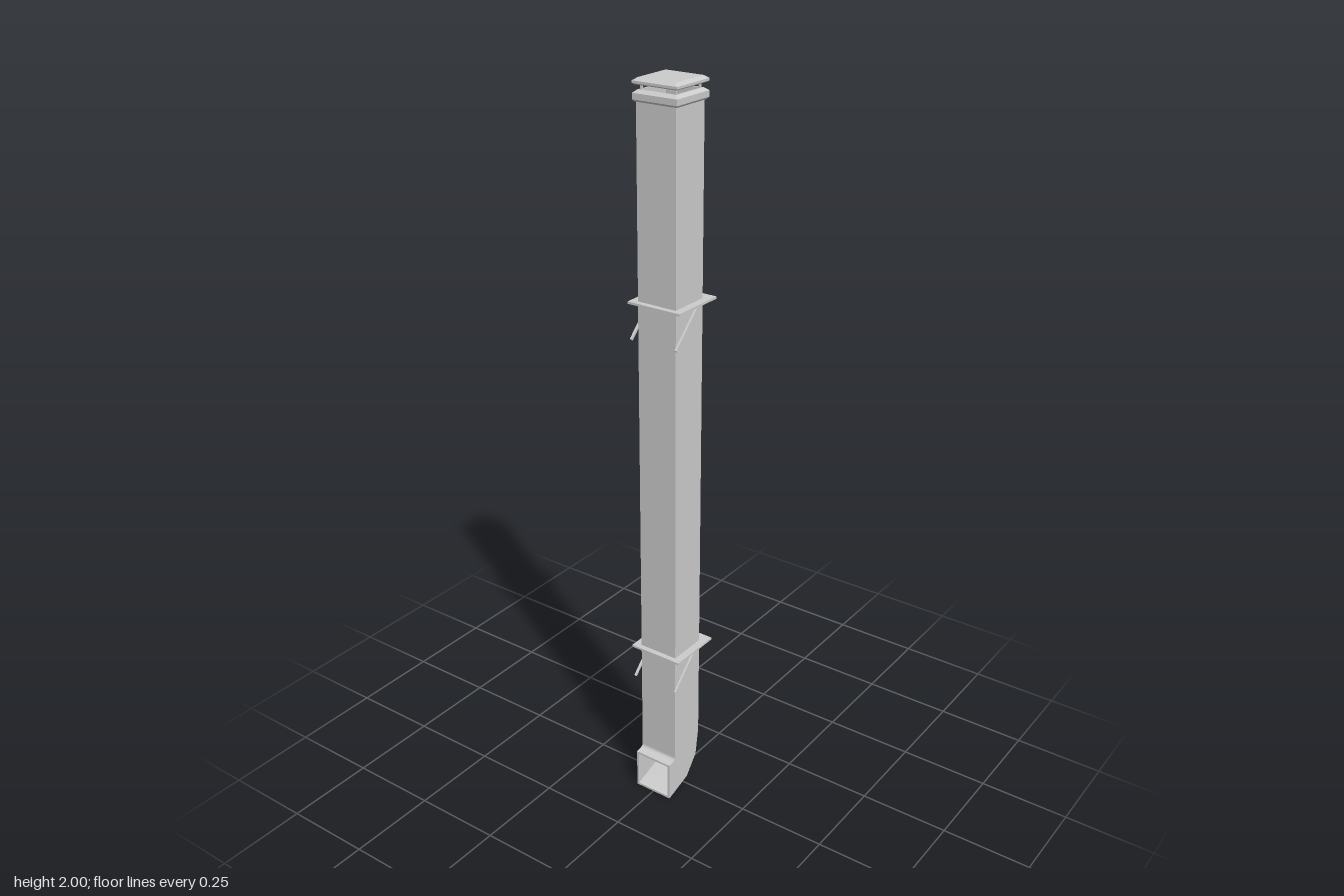
import * as THREE from 'three';

const material = new THREE.MeshStandardMaterial({ color: 0xcccccc, side: THREE.DoubleSide });
const flatMaterial = new THREE.MeshStandardMaterial({ color: 0xcccccc, flatShading: true, side: THREE.DoubleSide });

function addMesh(parent, name, geometry, mat = material) {
  const mesh = new THREE.Mesh(geometry, mat);
  mesh.name = name;
  parent.add(mesh);
  return mesh;
}

// Square solid of revolution: profile points are [half width, height]
function squareLathe(profile) {
  const points = profile.map(([h, y]) => new THREE.Vector2(h * Math.SQRT2, y));
  return new THREE.LatheGeometry(points, 4, Math.PI / 4).toNonIndexed();
}

// Hollow square duct following [outer bend x, y, inner bend x, y] sections
function ductGeometry(sections, halfDepth, wall) {
  const ring = ([ox, oy, ix, iy], inset) => {
    const d = new THREE.Vector2(ix - ox, iy - oy).setLength(inset);
    const z = halfDepth - inset;
    return [[ox + d.x, oy + d.y, z], [ox + d.x, oy + d.y, -z],
      [ix - d.x, iy - d.y, -z], [ix - d.x, iy - d.y, z]];
  };
  const outer = sections.map((s) => ring(s, 0));
  const inner = sections.map((s) => ring(s, wall)).reverse();
  const last = sections.length - 1;
  // outside, spout rim, inside, top rim
  const strips = [outer, [outer[last], inner[0]], inner, [inner[last], outer[0]]];
  const positions = [];
  const indices = [];
  for (const rings of strips) {
    for (let k = 0; k < 4; k++) {
      const start = positions.length / 3;
      rings.forEach((r, i) => {
        positions.push(...r[k], ...r[(k + 1) % 4]);
        if (i === 0) return;
        const a = start + (i - 1) * 2;
        indices.push(a, a + 2, a + 1, a + 1, a + 2, a + 3);
      });
    }
  }
  const geometry = new THREE.BufferGeometry();
  geometry.setAttribute('position', new THREE.Float32BufferAttribute(positions, 3));
  geometry.setIndex(indices);
  geometry.computeVertexNormals();
  return geometry;
}

// Thin support plate with a diagonal strut on each side of the duct
function createBracket(y) {
  const bracket = new THREE.Group();
  bracket.name = 'wallBracket';
  bracket.position.y = y;
  const plate = addMesh(bracket, 'bracketPlate', new THREE.BoxGeometry(0.158, 0.006, 0.156));
  plate.position.set(0.006, 0, 0);
  const from = new THREE.Vector2(-0.073, -0.095);
  const to = new THREE.Vector2(0.024, 0);
  const run = to.clone().sub(from);
  for (const side of [1, -1]) {
    const strut = addMesh(bracket, 'bracketStrut', new THREE.BoxGeometry(run.length(), 0.006, 0.006));
    strut.position.set((from.x + to.x) / 2, (from.y + to.y) / 2, side * 0.068);
    strut.rotation.z = run.angle();
  }
  return bracket;
}

export function createModel() {
  const model = new THREE.Group();
  model.name = 'ventDuct';

  // Long shaft with the curved spout at its foot
  addMesh(model, 'ductShaft', ductGeometry([
    [0.055, 1.955, -0.058, 1.955],
    [0.055, 0.16, -0.058, 0.128],
    [0.043, 0.08, -0.061, 0.121],
    [0.0, 0.026, -0.068, 0.117],
    [-0.085, 0.0, -0.085, 0.115],
  ], 0.057, 0.006));

  for (const y of [0.458, 1.457]) model.add(createBracket(y));

  // Bevelled collar around the open top
  addMesh(model, 'topCollar', squareLathe([
    [0.05, 1.945], [0.06, 1.945], [0.064, 1.95], [0.064, 1.965],
    [0.055, 1.972], [0.05, 1.972], [0.05, 1.945],
  ]), flatMaterial);

  // Corner posts holding the rain cap above the collar
  for (const x of [-1, 1]) {
    for (const z of [-1, 1]) {
      const post = addMesh(model, 'capPost', new THREE.BoxGeometry(0.005, 0.02, 0.005));
      post.position.set(x * 0.048, 1.978, z * 0.048);
    }
  }

  // Rain cap with sloping edges
  addMesh(model, 'rainCap', squareLathe([
    [0, 1.984], [0.06, 1.984], [0.064, 1.987], [0.064, 1.993], [0.054, 2.0], [0, 2.0],
  ]), flatMaterial);

  return model;
}
